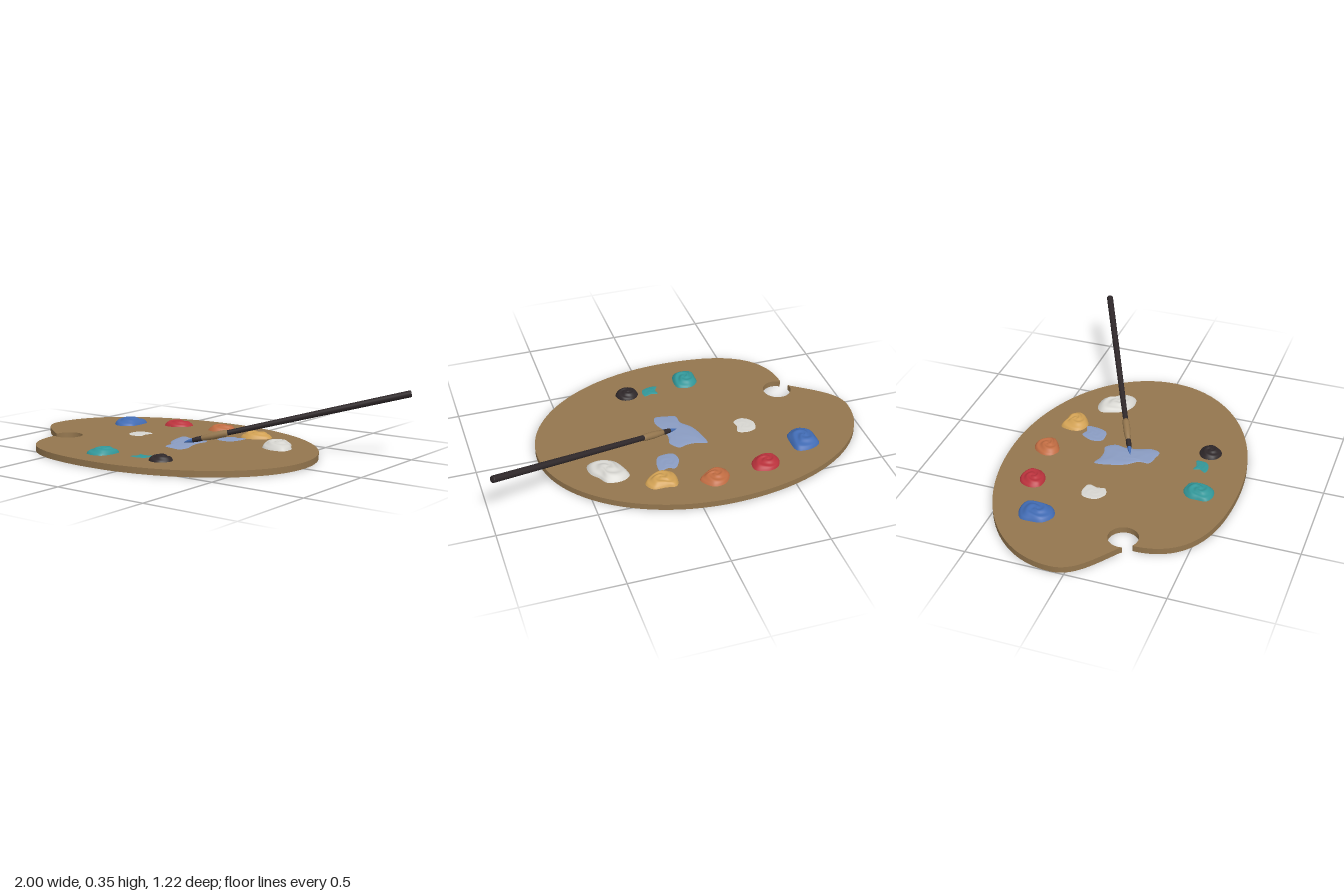
import * as THREE from 'three';

const TOP = 0.032; // height of the board's upper face

const mat = (name, color) => {
  const m = new THREE.MeshStandardMaterial({ color });
  m.name = name;
  return m;
};

// Dome over a closed outline (offsets in hundredths), with a two-armed swirl pressed into it
function domeGeometry(outline, height, swirl, phase) {
  const rings = 16, segs = 72;
  const curve = new THREE.CatmullRomCurve3(
    outline.map(([x, z]) => new THREE.Vector3(x / 100, 0, z / 100)), true, 'centripetal');
  const rim = curve.getPoints(segs).slice(0, segs);
  const pos = [0, height * 0.95, 0], index = [];
  for (let r = 1; r <= rings; r++) {
    const t = r / rings;
    rim.forEach((p) => {
      const a = Math.atan2(p.z, p.x);
      const ripple = swirl * 4 * t * (1 - t) * Math.sin(2 * a + 11 * t + phase);
      pos.push(p.x * t, height * Math.pow(1 - t ** 3, 0.7) + ripple, p.z * t);
    });
  }
  for (let s = 0; s < segs; s++) {
    const n = (s + 1) % segs;
    index.push(0, 1 + n, 1 + s);
    for (let r = 0; r < rings - 1; r++) {
      const a = 1 + r * segs, b = a + segs;
      index.push(a + s, a + n, b + s, a + n, b + n, b + s);
    }
  }
  const g = new THREE.BufferGeometry();
  g.setAttribute('position', new THREE.Float32BufferAttribute(pos, 3));
  g.setIndex(index);
  g.computeVertexNormals();
  return g;
}

// Oval board with a thumb hole that opens through a narrow slot at the edge
function boardGeometry() {
  const s = new THREE.Shape();
  const deg = Math.PI / 180;
  s.moveTo(0.685, 0);
  s.bezierCurveTo(0.685, -0.34, 0.307, -0.615, -0.16, -0.615);
  s.bezierCurveTo(-0.62, -0.615, -1, -0.38, -1, -0.07);
  s.bezierCurveTo(-1, 0.04, -0.9, 0.1, -0.775, 0.19);
  s.absarc(-0.692, 0.182, 0.075, 165 * deg, 485 * deg, false);
  s.lineTo(-0.738, 0.25);
  s.bezierCurveTo(-0.735, 0.52, -0.5, 0.608, -0.16, 0.608);
  s.bezierCurveTo(0.307, 0.608, 0.685, 0.336, 0.685, 0);
  const g = new THREE.ExtrudeGeometry(s, { depth: TOP, bevelEnabled: false, curveSegments: 32 });
  return g.rotateX(Math.PI / 2).translate(0, TOP, 0);
}

export function createModel() {
  const model = new THREE.Group();
  model.name = 'paintPalette';

  const wood = mat('wood', 0x94764e);
  const blue = mat('bluePaint', 0x416bb3);
  const red = mat('redPaint', 0xb9323c);
  const orange = mat('orangePaint', 0xc06c42);
  const yellow = mat('yellowPaint', 0xd0a053);
  const white = mat('whitePaint', 0xd6d5d0);
  const teal = mat('tealPaint', 0x329698);
  const black = mat('black', 0x2e2729);
  const paleBlue = mat('paleBluePaint', 0x8a9cc2);

  const add = (parent, name, geometry, material) => {
    const m = new THREE.Mesh(geometry, material);
    m.name = name;
    parent.add(m);
    return m;
  };

  add(model, 'board', boardGeometry(), wood);

  // Squeezed paint blobs
  let phase = 0;
  const blob = (name, material, x, z, height, outline) =>
    add(model, name, domeGeometry(outline, height, 0.0035, phase++), material).position.set(x, TOP, z);

  blob('blueBlob', blue, -0.655, -0.278, 0.032,
    [[-6.4, -5.9], [0, -9.1], [6.4, -8], [7.5, -0.5], [6.4, 5.9], [0, 9.1], [-5.9, 5.4], [-7, -0.5]]);
  blob('redBlob', red, -0.404, -0.4, 0.026,
    [[-7, 1], [-4.8, -4.8], [0.5, -7], [7.5, -4.3], [7, 2.1], [1.6, 5.9], [-4.8, 5.4]]);
  blob('orangeBlob', orange, -0.12, -0.436, 0.027,
    [[-7.5, 0], [-3.2, -6.2], [3.2, -6.7], [8, 0], [3.2, 4.6], [-2.1, 6.7], [-6.4, 4.6]]);
  blob('yellowBlob', yellow, 0.142, -0.38, 0.028,
    [[-8, -1], [-5.9, -6.4], [-0.5, -5.9], [5.9, -5.4], [8.6, -0.5], [4.8, 4.3], [-1.6, 7], [-7, 4.3]]);
  blob('whiteBlob', white, 0.377, -0.23, 0.032,
    [[-9.6, -6.4], [-4.8, -9.6], [2.7, -8.6], [5.4, -4.3], [9.1, 1], [8.6, 7.5], [1.6, 9.1], [-4.8, 6.4], [-8, 1]]);
  blob('tealBlob', teal, -0.238, 0.417, 0.027,
    [[-5.9, -3.7], [-1, -7.5], [5.4, -5.9], [6.4, 0], [4.3, 6.4], [-1, 8], [-5.9, 5.9], [-6.4, 1]]);
  blob('blackBlob', black, 0.104, 0.38, 0.025,
    [[-5.9, -2.1], [-2.1, -5.4], [3.2, -4.8], [5.9, 0], [3.2, 4.8], [-1, 5.9], [-5.4, 3.2]]);

  // Thin smears of mixed paint
  const smear = (name, material, x, z, height, outline) =>
    add(model, name, domeGeometry(outline, height, 0.0004, 0), material).position.set(x, TOP + 0.001, z);

  smear('mixedSmear', paleBlue, -0.067, -0.01, 0.006,
    [[-10.7, -15], [-5.3, -13.4], [0, -13.4], [4.3, -14.4], [8, -9.6], [7, -4.3], [8, 2.7],
      [10.2, 9.1], [8.6, 13.9], [3.2, 13.4], [-2.1, 11.8], [-2.7, 6.4], [-7, 1], [-9.6, -5.9]]);
  smear('smallBlueSmear', paleBlue, 0.067, -0.25, 0.003,
    [[-2, -5.9], [1.6, -4.8], [5.9, -5.9], [5.9, 1], [3.7, 5.4], [0, 6.4], [-4.3, 5.9], [-5.9, 1], [-4.3, -3.2]]);
  smear('whiteSmear', white, -0.41, -0.075, 0.003,
    [[-4.3, -4.3], [0.5, -5.9], [5.4, -4.3], [4.3, 0.5], [4.8, 4.3], [0.5, 6.4], [-3.2, 4.8], [-5.3, 1.6]]);
  smear('tealSmear', teal, -0.03, 0.37, 0.003,
    [[-3.2, -3.2], [0.5, -2.7], [4.3, -3.7], [4.3, 1.6], [0.5, 3.7], [-4.3, 3.2], [-2.6, 0]]);

  // Brush, turned around its own axis from the tip upward
  const brush = new THREE.Group();
  brush.name = 'brush';
  const tip = new THREE.Vector3(-0.057, 0.04, -0.005);
  const axis = new THREE.Vector3(0.991, 0.335, -0.495).sub(tip);
  const length = axis.length();
  const turned = (name, material, profile) => add(brush, name,
    new THREE.LatheGeometry(profile.map(([r, y]) => new THREE.Vector2(r, y)), 24), material);
  turned('paintedTip', blue, [[0, 0], [0.004, 0.012], [0.008, 0.03], [0.011, 0.05]]);
  turned('bristles', black, [[0.011, 0.05], [0.0135, 0.075], [0.0135, 0.105]]);
  turned('ferrule', wood, [[0, 0.1], [0.0135, 0.1], [0.0185, 0.16], [0.0185, 0.225], [0.016, 0.24], [0, 0.24]]);
  turned('handle', black, [[0.0135, 0.235], [0.0145, 0.4], [0.0165, 0.8], [0.0175, length - 0.004]]);
  turned('handleEnd', black, [[0.0175, length - 0.004], [0.0155, length], [0, length]]);
  brush.position.copy(tip);
  brush.quaternion.setFromUnitVectors(new THREE.Vector3(0, 1, 0), axis.normalize());
  model.add(brush);

  return model;
}
